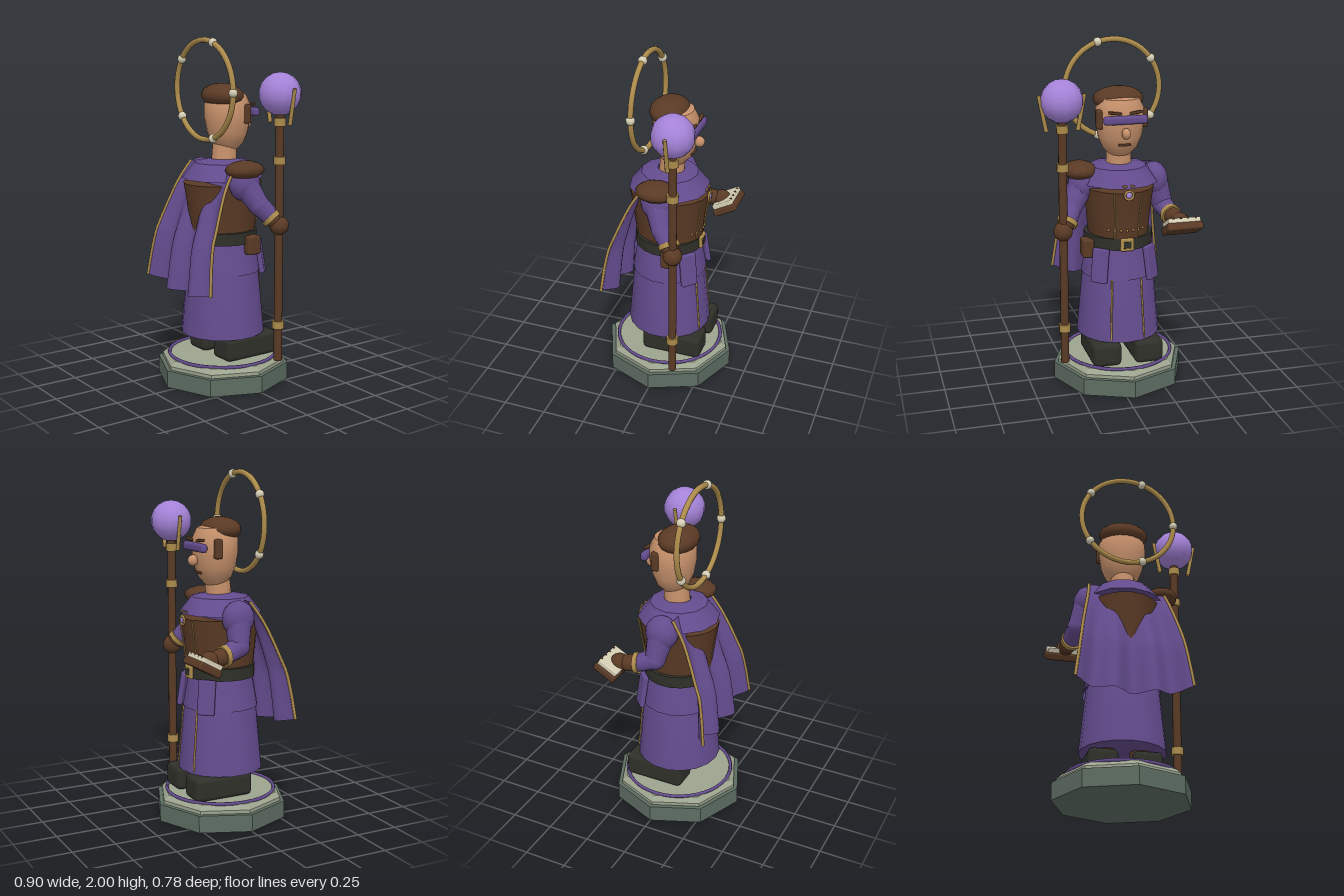
import * as THREE from 'three';
import { RoundedBoxGeometry } from 'three/addons/geometries/RoundedBoxGeometry.js';
import { toCreasedNormals } from 'three/addons/utils/BufferGeometryUtils.js';

const V = (x, y, z) => new THREE.Vector3(x, y, z);
const paint = (name, color, side = THREE.FrontSide) => {
  const m = new THREE.MeshStandardMaterial({ color, side });
  m.name = name;
  return m;
};

export function createModel() {
  const purple = paint('purple cloth', 0x644c8e, THREE.DoubleSide);
  const lilac = paint('lilac crystal', 0xa583d9);
  const brown = paint('brown leather', 0x5a3a25);
  const skin = paint('skin', 0xc8926c);
  const gold = paint('gold', 0xad8c4c);
  const cream = paint('cream', 0xd6cfb5);
  const dark = paint('dark leather', 0x30302a);
  const stone = paint('dark stone', 0x5d6d62);
  const pale = paint('pale stone', 0x9ca48f);

  const model = new THREE.Group();
  model.name = 'wizardFigurine';
  const body = new THREE.Group();
  body.name = 'figure';
  body.position.x = -0.045;
  model.add(body);

  // Helpers
  const add = (name, geo, mat, x = 0, y = 0, z = 0, parent = body) => {
    const m = new THREE.Mesh(geo, mat);
    m.name = name;
    m.position.set(x, y, z);
    parent.add(m);
    return m;
  };
  const lathe = (name, pts, mat, sx = 1, sz = 1, seg = 18) => {
    const g = new THREE.LatheGeometry(pts.map(p => new THREE.Vector2(...p)), seg);
    g.scale(sx, 1, sz);
    return add(name, toCreasedNormals(g, 0.6), mat);
  };
  const limb = (name, a, b, ra, rb, mat, seg = 10) => {
    const d = b.clone().sub(a);
    const m = add(name, new THREE.CylinderGeometry(rb, ra, d.length(), seg), mat);
    m.position.copy(a).addScaledVector(d, 0.5);
    m.quaternion.setFromUnitVectors(V(0, 1, 0), d.normalize());
    return m;
  };
  const blob = (name, mat, x, y, z, rx, ry = rx, rz = rx, ws = 14, hs = 10) => {
    const m = add(name, new THREE.SphereGeometry(1, ws, hs), mat, x, y, z);
    m.scale.set(rx, ry, rz);
    return m;
  };
  const box = (name, mat, w, h, d, x, y, z, r = 0.012, parent = body) =>
    add(name, new RoundedBoxGeometry(w, h, d, 2, r), mat, x, y, z, parent);
  const octagon = (name, r1, r0, h, y, mat) => {
    const g = new THREE.CylinderGeometry(r1, r0, h, 8).toNonIndexed();
    g.computeVertexNormals();
    add(name, g, mat, 0, y + h / 2, 0);
  };

  // Octagonal plinth with inlaid ring
  octagon('plinth', 0.39, 0.39, 0.1, 0, stone);
  octagon('plinthStep', 0.365, 0.365, 0.02, 0.1, pale);
  octagon('plinthTop', 0.335, 0.365, 0.027, 0.12, pale);
  add('plinthRing', new THREE.TorusGeometry(0.315, 0.01, 6, 40).rotateX(Math.PI / 2), purple, 0, 0.151, 0);

  // Boots
  for (const s of [-1, 1]) {
    box('boot', dark, 0.17, 0.14, 0.36, s * 0.125, 0.215, -0.075, 0.03);
    limb('leg', V(s * 0.11, 0.26, 0.01), V(s * 0.1, 0.45, 0), 0.07, 0.07, brown);
  }

  // Robe: skirt, peplum, belt, vest, collar
  lathe('skirt', [[0, 0.3], [0.235, 0.285], [0.245, 0.285], [0.208, 0.68], [0.18, 0.84]], purple);
  lathe('peplum', [[0.2, 0.655], [0.218, 0.655], [0.185, 0.84]], purple);
  lathe('belt', [[0.18, 0.83], [0.2, 0.83], [0.2, 0.9], [0.18, 0.9]], dark);
  lathe('vest', [[0.18, 0.89], [0.198, 0.895], [0.212, 1.04], [0.235, 1.175], [0.1, 1.185]], brown, 0.88, 1);
  lathe('collar', [[0.12, 1.19], [0.235, 1.2], [0.165, 1.29], [0.07, 1.31]], purple, 0.98, 1, 12);
  lathe('shoulderYoke', [[0.19, 1.12], [0.2, 1.2], [0.15, 1.27]], purple, 1.05, 0.7);

  // Skirt trim, hanging tabs and buckle
  for (const s of [-1, 1]) {
    const on = (y, r, a) => V(s * r * Math.sin(a), y, -r * Math.cos(a));
    limb('skirtTrim', on(0.3, 0.244, 0.42), on(0.66, 0.211, 0.42), 0.006, 0.006, gold, 6);
    const tab = box('beltTab', purple, 0.1, 0.2, 0.03, s * 0.15, 0.74, -0.165, 0.01);
    tab.rotation.set(0.15, -s * 0.75, 0, 'YXZ');
    limb('vestTrim', on(0.91, 0.196, 0.35), on(1.17, 0.235, 0.35), 0.005, 0.005, gold, 6);
  }
  box('buckle', gold, 0.08, 0.075, 0.02, 0, 0.865, -0.2, 0.008);
  box('buckleCentre', dark, 0.045, 0.04, 0.01, 0, 0.865, -0.208, 0.004);
  for (let i = 0; i < 7; i++) {
    const a = (i - 3) * 0.2;
    blob('vestStud', gold, 0.178 * Math.sin(a), 0.95, -0.205 * Math.cos(a), 0.008, 0.008, 0.008, 6, 4);
  }
  box('pouch', brown, 0.07, 0.11, 0.09, 0.2, 0.825, -0.065, 0.015);

  // Chest clasp
  add('clasp', new THREE.TorusGeometry(0.025, 0.007, 6, 14), gold, 0, 1.165, -0.24);
  blob('claspGem', lilac, 0, 1.165, -0.24, 0.018, 0.018, 0.01, 8, 6);
  for (const s of [-1, 1]) box('claspBar', gold, 0.025, 0.012, 0.012, s * 0.022, 1.215, -0.228, 0.004);

  // Cape: a folded sheet that falls backwards and widens
  const fall = new THREE.CatmullRomCurve3([
    V(0.222, 1.28, 0.07), V(0.24, 1.18, 0.13), V(0.262, 1.07, 0.175),
    V(0.285, 0.95, 0.215), V(0.3, 0.85, 0.245), V(0.335, 0.59, 0.275)]);
  const capePoint = (u, t) => {
    const p = fall.getPoint(t), fold = Math.cos(3 * Math.PI * u);
    return V(p.x * u, p.y - 0.04 * t * (1 - u * u) + 0.01 * t * u * u, p.z - 0.037 * t * fold);
  };
  const cape = new THREE.PlaneGeometry(2, 1, 36, 18);
  const cp = cape.attributes.position;
  for (let i = 0; i < cp.count; i++) {
    const p = capePoint(cp.getX(i), 0.5 - cp.getY(i));
    cp.setXYZ(i, p.x, p.y, p.z);
  }
  cape.computeVertexNormals();
  add('cape', cape, purple);
  for (const s of [-1, 1]) {
    const edge = Array.from({ length: 9 }, (_, i) => capePoint(s * 0.985, i / 8));
    add('capeTrim', new THREE.TubeGeometry(new THREE.CatmullRomCurve3(edge), 20, 0.009, 6), gold);
  }

  // Neck, head and face
  limb('neck', V(0, 1.26, -0.01), V(0, 1.42, -0.02), 0.075, 0.07, skin, 14);
  const head = lathe('head', [[0, 1.345], [0.055, 1.355], [0.1, 1.4], [0.125, 1.46],
    [0.14, 1.54], [0.14, 1.62], [0.11, 1.68], [0, 1.71]], skin, 1, 0.92, 20);
  head.position.z = -0.035;
  blob('hair', brown, 0, 1.67, 0, 0.147, 0.07, 0.11, 18, 10);
  blob('nose', skin, 0, 1.5, -0.172, 0.025, 0.032, 0.032, 10, 8);
  box('visor', purple, 0.255, 0.05, 0.04, 0, 1.575, -0.16, 0.018);
  box('mouth', brown, 0.07, 0.014, 0.02, 0, 1.43, -0.137, 0.005);
  for (const s of [-1, 1]) {
    box('sideburn', brown, 0.04, 0.11, 0.045, s * 0.128, 1.57, -0.08, 0.012);
    const brow = box('eyebrow', brown, 0.075, 0.016, 0.02, s * 0.06, 1.615, -0.158, 0.005);
    brow.rotation.z = s * 0.12;
  }

  // Halo with five pearls
  add('halo', new THREE.TorusGeometry(0.28, 0.016, 8, 48), gold, 0, 1.705, 0.125);
  for (let i = 0; i < 5; i++) {
    const a = i * Math.PI * 0.4;
    blob('haloPearl', cream, 0.28 * Math.cos(a), 1.705 + 0.28 * Math.sin(a), 0.125, 0.026, 0.026, 0.026, 10, 8);
  }

  // Arms: shoulder, sleeve, gold cuff, glove
  const arm = (shoulder, elbow, wrist, hand) => {
    blob('shoulder', purple, shoulder.x, shoulder.y, shoulder.z, 0.08, 0.1, 0.095);
    limb('upperSleeve', shoulder, elbow, 0.078, 0.06, purple, 12);
    blob('elbow', purple, elbow.x, elbow.y, elbow.z, 0.061);
    limb('forearmSleeve', elbow, wrist, 0.06, 0.052, purple, 12);
    const d = hand.clone().sub(wrist).normalize();
    limb('cuff', wrist.clone().addScaledVector(d, -0.012), wrist.clone().addScaledVector(d, 0.016), 0.062, 0.06, gold, 12);
    limb('glove', wrist, hand, 0.052, 0.042, brown, 12);
    blob('hand', brown, hand.x, hand.y, hand.z, 0.055);
  };
  arm(V(0.215, 1.19, 0), V(0.285, 1.07, -0.05), V(0.325, 1.0, -0.11), V(0.357, 0.955, -0.14));
  arm(V(-0.215, 1.19, 0), V(-0.262, 1.04, -0.02), V(-0.282, 1.0, -0.12), V(-0.3, 0.985, -0.225));
  blob('shoulderPad', brown, 0.225, 1.268, 0.005, 0.098, 0.052, 0.118, 12, 8);

  // Open book resting on the hand
  const book = new THREE.Group();
  book.name = 'book';
  book.position.set(-0.305, 0.97, -0.262);
  book.rotation.x = 0.5;
  body.add(book);
  box('bookCover', brown, 0.21, 0.045, 0.145, 0, -0.012, 0, 0.012, book);
  box('bookPages', cream, 0.19, 0.03, 0.128, 0, 0.022, 0, 0.006, book);
  for (let i = 0; i < 4; i++) box('bookStitch', brown, 0.01, 0.012, 0.012, -0.066 + i * 0.044, 0.034, -0.06, 0.003, book);

  // Staff with bands, crystal and prongs
  const sx = 0.355, sz = -0.14;
  limb('staff', V(sx, 0.16, sz), V(sx, 1.58, sz), 0.024, 0.024, brown, 10);
  for (const y of [0.375, 1.325, 1.54])
    add('staffBand', new THREE.CylinderGeometry(0.034, 0.034, 0.045, 10), gold, sx, y, sz);
  blob('crystal', lilac, sx, 1.695, sz, 0.12, 0.12, 0.12, 12, 9);
  for (const s of [-1, 1])
    limb('prong', V(sx + s * 0.088, 1.53, sz), V(sx + s * 0.128, 1.73, sz), 0.013, 0.011, gold, 6);

  return model;
}
